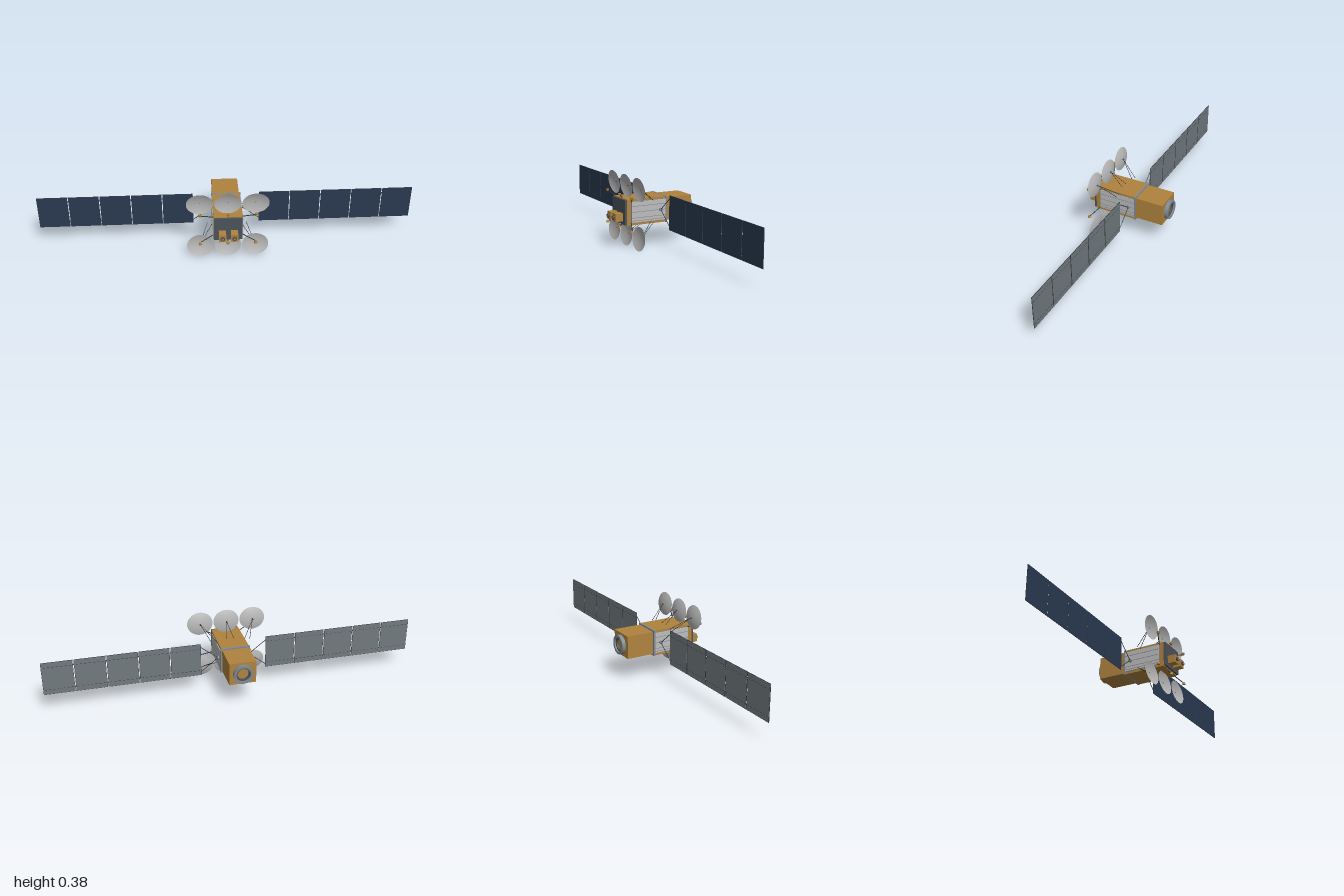
import * as THREE from 'three';

const material = (name, color, side = THREE.FrontSide) => {
  const m = new THREE.MeshStandardMaterial({ color, side });
  m.name = name;
  return m;
};

export function createModel() {
  const gold = material('gold foil', 0xb0833f);
  const dark = material('dark strut', 0x33393c);
  const slate = material('slate plate', 0x4b535a);
  const silver = material('silver radiator', 0xbdbdbd);
  const steel = material('steel', 0x808a92);
  const navy = material('solar cell', 0x2a3a52);
  const backGrey = material('panel back', 0x727a7f);
  const dishGrey = material('dish grey', 0xb8b8b8, THREE.DoubleSide);

  const model = new THREE.Group();
  model.name = 'satellite';
  const CY = 0.195;

  const add = (parent, name, geo, mat, x, y, z) => {
    const mesh = new THREE.Mesh(geo, mat);
    mesh.name = name;
    mesh.position.set(x, y, z);
    parent.add(mesh);
    return mesh;
  };
  const box = (parent, name, mat, w, h, d, x, y, z) =>
    add(parent, name, new THREE.BoxGeometry(w, h, d), mat, x, y, z);
  // Tapered round bar between two points
  const bar = (parent, name, mat, a, b, r0, r1 = r0, sides = 8) => {
    const p = new THREE.Vector3(...a), q = new THREE.Vector3(...b);
    const dir = q.clone().sub(p);
    const mesh = add(parent, name, new THREE.CylinderGeometry(r1, r0, dir.length(), sides), mat, 0, 0, 0);
    mesh.position.copy(p).add(q).multiplyScalar(0.5);
    mesh.quaternion.setFromUnitVectors(new THREE.Vector3(0, 1, 0), dir.normalize());
    return mesh;
  };

  // Body: front bus, rear module and the collar between them
  box(model, 'bus', gold, 0.15, 0.138, 0.232, 0, 0.194, 0.057);
  box(model, 'rearModule', gold, 0.143, 0.122, 0.156, 0, CY, -0.136);
  box(model, 'collar', steel, 0.158, 0.14, 0.01, 0, 0.194, -0.058);
  box(model, 'frontPlate', slate, 0.148, 0.131, 0.011, 0, CY, 0.1785);

  // Radiators with heat pipes on both sides of the bus
  for (const s of [-1, 1]) {
    box(model, 'radiatorFrame', steel, 0.003, 0.115, 0.205, s * 0.076, CY, 0.0465);
    box(model, 'radiator', silver, 0.004, 0.111, 0.201, s * 0.0775, CY, 0.0465);
    for (const dy of [-0.0465, -0.031, 0, 0.031])
      box(model, 'heatPipe', steel, 0.002, 0.0025, 0.2, s * 0.0795, CY + dy, 0.0465);
  }

  // Twin sensors on the front plate
  for (const s of [-1, 1]) {
    box(model, 'sensorBox', gold, 0.037, 0.043, 0.044, s * 0.031, 0.1675, 0.205);
    bar(model, 'sensorLens', slate, [s * 0.031, 0.1675, 0.226], [s * 0.031, 0.1675, 0.235], 0.011, 0.011, 20);
    bar(model, 'sensorGlass', gold, [s * 0.031, 0.1675, 0.2345], [s * 0.031, 0.1675, 0.2355], 0.006, 0.006, 16);
  }

  // Open rear ring with a darker inner sleeve
  const ring = (name, mat, outer, inner, depth) => {
    const profile = [[inner, 0], [outer, 0], [outer, depth], [inner, depth], [inner, 0]];
    // repeated corners keep the ring edges sharp
    const points = profile.flatMap(([r, y], i) => {
      const v = new THREE.Vector2(r, y);
      return i === 0 || i === 4 ? [v] : [v, v.clone()];
    });
    const mesh = add(model, name, new THREE.LatheGeometry(points, 32), mat, 0, CY - 0.0005, -0.214);
    mesh.rotation.x = -Math.PI / 2;
  };
  ring('rearRing', steel, 0.0515, 0.039, 0.02);
  ring('rearSleeve', slate, 0.0391, 0.031, 0.012);

  // Dish antennas, three above and three below, each with struts and a feed horn
  const dishProfile = [];
  for (let i = 0; i <= 8; i++) {
    const t = i / 8;
    dishProfile.push(new THREE.Vector2(0.07 * t, 0.012 * t * t));
  }
  const dishGeo = new THREE.LatheGeometry(dishProfile, 36);
  dishGeo.rotateX(Math.PI / 2);
  dishGeo.scale(1, 0.9, 1);
  for (const v of [-1, 1]) {
    for (const side of [-1, 0, 1]) {
      const x = side * 0.145;
      const antenna = new THREE.Group();
      antenna.name = 'antenna';
      model.add(antenna);
      const y = d => CY + v * d;
      const dish = add(antenna, 'dish', dishGeo, dishGrey, x, y(0.13), 0.1285);
      dish.rotation.x = v * 0.115;
      // rear struts
      const ends = side === 0 ? [-0.022, 0.022] : [side * 0.074, side * 0.104];
      for (const ex of ends)
        bar(antenna, 'dishStrut', dark, [x, y(0.13), 0.127], [ex, y(0.059), 0.033], 0.0014);
      bar(antenna, 'dishMount', dark, [x, y(0.13), 0.1285], [x, y(0.126), 0.122], 0.004);
      // feed arm and horn
      bar(antenna, 'feedArm', dark, [side * 0.073, y(0.055), 0.148], [x, y(0.083), 0.177], 0.0025);
      bar(antenna, 'feedHorn', gold, [x, y(0.081), 0.181], [x, y(0.092), 0.179], 0.006, 0.0095, 16);
    }
  }

  // Solar wings: hub, yoke, five hinged panels
  const PITCH = 0.1655, W = 0.161, H = 0.184, Z = -0.022;
  for (const s of [-1, 1]) {
    const wing = new THREE.Group();
    wing.name = s > 0 ? 'leftWing' : 'rightWing';
    model.add(wing);
    bar(wing, 'hub', steel, [s * 0.07, CY, Z], [s * 0.088, CY, Z], 0.0095, 0.0095, 20);
    for (const v of [-1, 1])
      bar(wing, 'yoke', dark, [s * 0.084, CY, Z], [s * 0.18, CY + v * 0.075, Z], 0.0018);
    for (let i = 0; i < 5; i++) {
      const x = s * (1 - W / 2 - i * PITCH);
      box(wing, 'panelFrame', dark, W, H, 0.0024, x, CY, Z);
      box(wing, 'cellFace', navy, W - 0.001, H - 0.001, 0.001, x, CY, Z + 0.0015);
      box(wing, 'panelBack', backGrey, W - 0.003, H - 0.003, 0.001, x, CY, Z - 0.0015);
      // dashed wiring along the back
      for (const v of [-1, 1])
        for (let k = 0; k < 7; k++)
          box(wing, 'wiring', dark, 0.012, 0.002, 0.0008, x + (k - 3) * 0.0225, CY + v * 0.064, Z - 0.0022);
      // hinges to the next panel inward
      if (i < 4)
        for (const v of [-1, 1])
          box(wing, 'hinge', dark, 0.008, 0.005, 0.003, x - s * PITCH / 2, CY + v * 0.064, Z - 0.001);
    }
  }
  return model;
}
